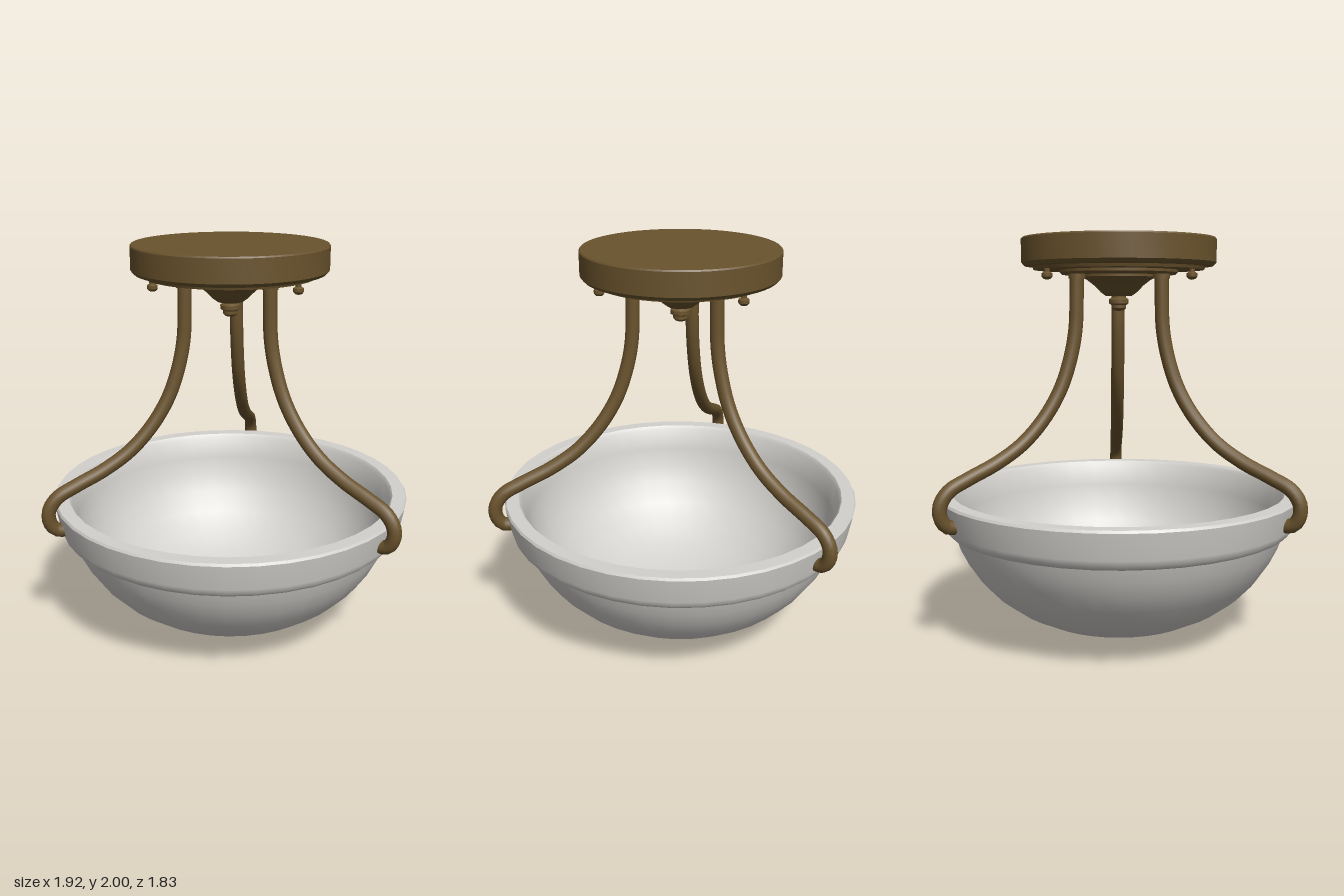
import * as THREE from 'three';
import { toCreasedNormals } from 'three/addons/utils/BufferGeometryUtils.js';

const bronze = new THREE.MeshStandardMaterial({ color: 0x6a532d });
bronze.name = 'bronze';
const frosted = new THREE.MeshStandardMaterial({ color: 0xd3d1cd });
frosted.name = 'frosted glass';

function add(parent, name, geometry, material) {
  const mesh = new THREE.Mesh(geometry, material);
  mesh.name = name;
  parent.add(mesh);
  return mesh;
}

// Profile is [radius, y], running counter-clockwise so faces point outward
function lathe(profile, segments) {
  const points = profile.map(([r, y]) => new THREE.Vector2(r, y));
  return toCreasedNormals(new THREE.LatheGeometry(points, segments), 0.6);
}

export function createModel() {
  const root = new THREE.Group();
  root.name = 'ceilingLight';
  const fixture = new THREE.Group();
  fixture.name = 'fixture';
  fixture.position.x = -0.05;
  root.add(fixture);

  // Glass bowl: outer shell, stepped band, rim, inner shell
  add(fixture, 'bowl', lathe([
    [0, 0.005], [0.14, 0.012], [0.28, 0.04], [0.42, 0.088], [0.54, 0.15],
    [0.64, 0.225], [0.72, 0.31], [0.78, 0.4], [0.82, 0.48], [0.842, 0.545],
    [0.868, 0.555], [0.888, 0.575], [0.895, 0.6], [0.917, 0.725], [0.91, 0.737],
    [0.845, 0.737], [0.83, 0.72], [0.81, 0.6], [0.785, 0.5], [0.74, 0.4],
    [0.67, 0.3], [0.57, 0.21], [0.44, 0.13], [0.29, 0.08], [0.14, 0.052], [0, 0.045],
  ], 40), frosted);

  // Ceiling canopy with stepped underside
  add(fixture, 'canopy', lathe([
    [0, 1.845], [0.425, 1.845], [0.43, 1.86], [0.47, 1.863], [0.485, 1.88],
    [0.485, 1.993], [0.48, 2], [0, 2],
  ], 56), bronze);
  add(fixture, 'mountingPlate', lathe([
    [0, 1.822], [0.285, 1.822], [0.295, 1.832], [0.295, 1.85], [0, 1.85],
  ], 40), bronze);

  // Flared hub and finial at the centre
  add(fixture, 'hub', lathe([
    [0, 1.715], [0.065, 1.717], [0.09, 1.735], [0.125, 1.77], [0.16, 1.797],
    [0.19, 1.81], [0.19, 1.83], [0, 1.83],
  ], 32), bronze);
  add(fixture, 'finial', lathe([
    [0, 1.642], [0.025, 1.645], [0.036, 1.656], [0.036, 1.672], [0.05, 1.68],
    [0.05, 1.7], [0.035, 1.71], [0.035, 1.725], [0, 1.725],
  ], 20), bronze);

  // Three hooked arms, each with a collar and a canopy screw
  const path = new THREE.CatmullRomCurve3([
    [0.238, 1.83], [0.24, 1.72], [0.247, 1.56], [0.275, 1.42], [0.33, 1.27],
    [0.42, 1.13], [0.54, 1.01], [0.68, 0.925], [0.82, 0.865], [0.92, 0.815],
    [0.963, 0.755], [0.964, 0.695], [0.935, 0.65], [0.905, 0.642],
  ].map(([r, y]) => new THREE.Vector3(r, y, 0)));
  for (let i = 0; i < 3; i++) {
    const arm = new THREE.Group();
    arm.name = 'arm' + (i + 1);
    arm.rotation.y = (i * Math.PI * 2) / 3;
    fixture.add(arm);
    add(arm, 'armTube', new THREE.TubeGeometry(path, 64, 0.035, 12), bronze);
    add(arm, 'armTip', new THREE.SphereGeometry(0.035, 12, 8), bronze)
      .position.set(0.905, 0.642, 0);
    add(arm, 'armCollar', new THREE.CylinderGeometry(0.042, 0.042, 0.025, 16), bronze)
      .position.set(0.238, 1.813, 0);
    add(arm, 'screwStem', new THREE.CylinderGeometry(0.014, 0.014, 0.04, 10), bronze)
      .position.set(0.4, 1.83, 0);
    add(arm, 'screwHead', lathe([
      [0, 1.791], [0.016, 1.795], [0.026, 1.806], [0.026, 1.822], [0.014, 1.83], [0, 1.83],
    ], 12), bronze).position.x = 0.4;
  }
  return root;
}
